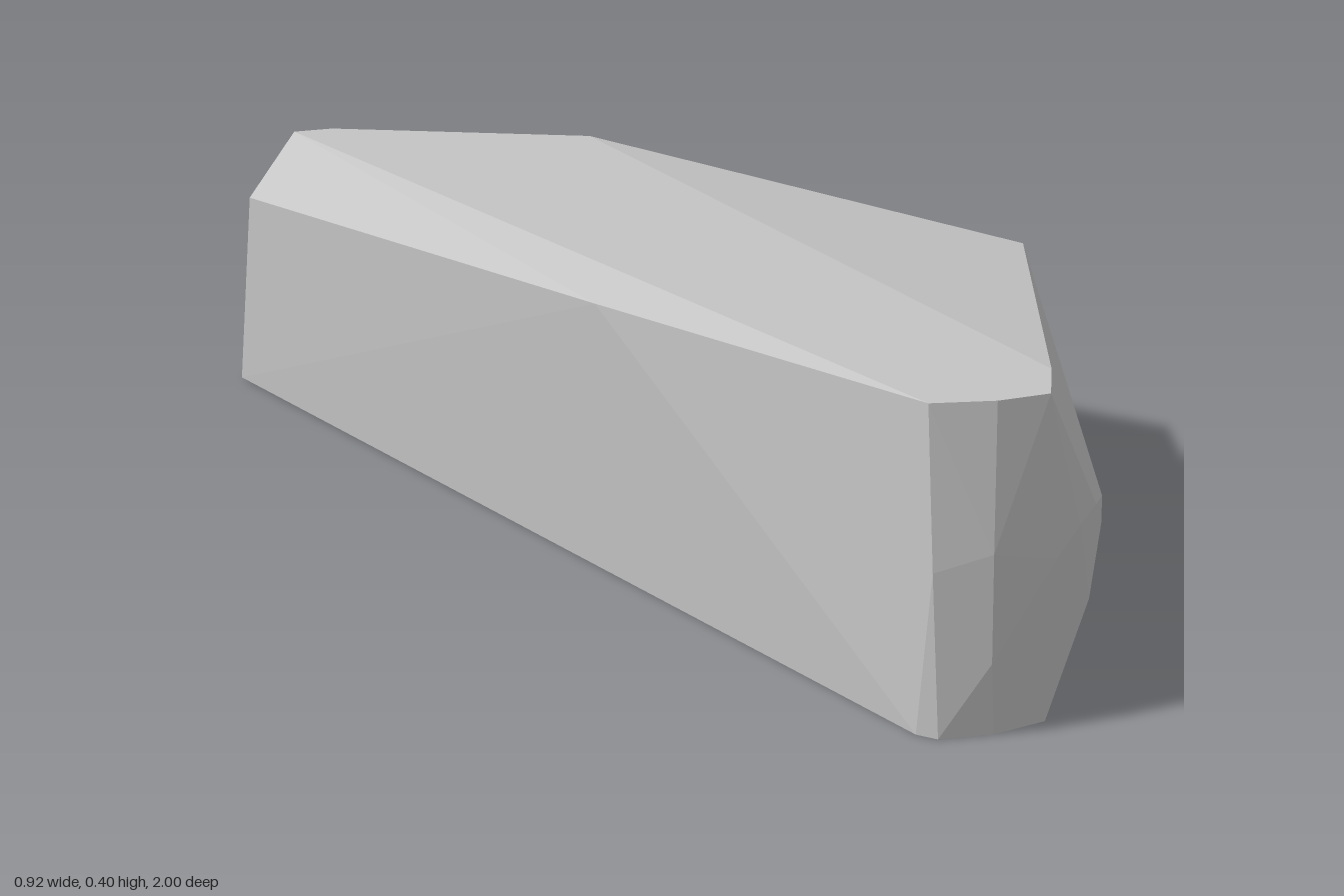
import * as THREE from 'three';
import { ConvexGeometry } from 'three/addons/geometries/ConvexGeometry.js';

export function createModel() {
  const group = new THREE.Group();
  group.name = 'rock';
  const stone = new THREE.MeshStandardMaterial({ color: 0xc4c4c4 });
  stone.name = 'stone grey';

  const TOP = 0.395;
  const corners = [
    // flat top
    [-0.345, TOP, -1.0], [-0.28, TOP, -1.0], [0.07, TOP, -0.745],
    [-0.07, TOP, 0.89], [-0.13, TOP, 0.985], [-0.2, TOP, 0.985], [-0.275, TOP, 0.96],
    // chipped back corner
    [-0.46, 0.315, -0.89], [-0.46, 0, -0.97],
    // slight bulge along the long side
    [-0.4, 0.315, -0.2], [-0.365, 0.37, 0.25],
    // wide side point
    [0.46, 0.315, -0.035], [0.4, 0.02, -0.035],
    // back side corner
    [0.1, 0.2, -0.96], [0.1, 0.135, -0.96],
    // flat underside
    [-0.21, 0, -0.965], [0.13, 0, -0.74], [0.23, 0, 0.23],
    [-0.125, 0, 0.98], [-0.2, 0, 0.99], [-0.265, 0, 0.975], [-0.28, 0, 0.95],
    // rounded nose
    [-0.21, 0.22, 1.0], [-0.21, 0.09, 1.0], [-0.12, 0.2, 0.99], [-0.275, 0.2, 0.975],
    [-0.06, 0.22, 0.945], [0, 0.22, 0.885], [-0.01, 0.105, 0.89],
    [0.09, 0.185, 0.76], [0.09, 0.15, 0.76],
  ];

  // faceted boulder wrapped around its corners
  const body = new THREE.Mesh(
    new ConvexGeometry(corners.map((c) => new THREE.Vector3(...c))), stone);
  body.name = 'boulder';
  group.add(body);
  return group;
}
